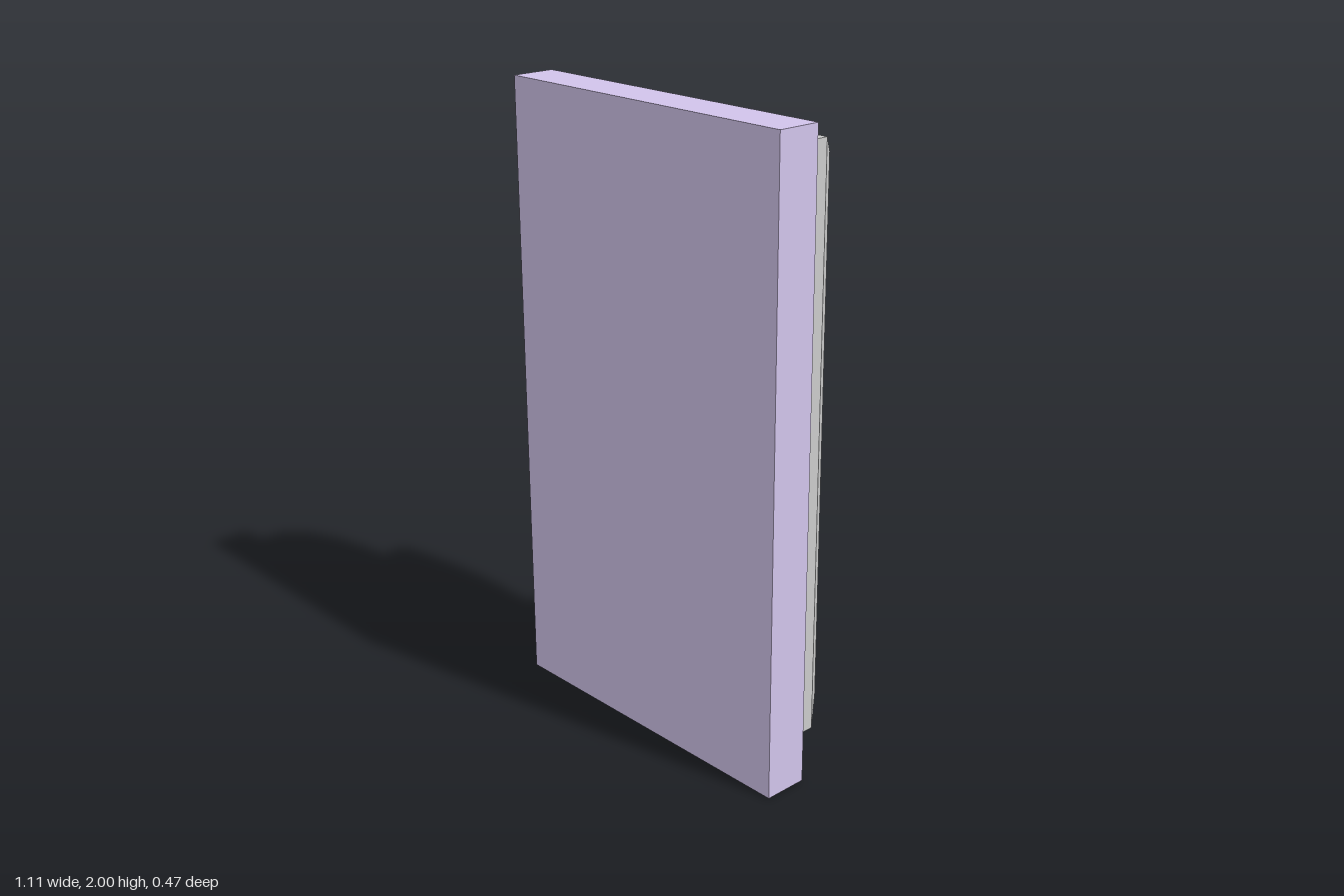
import * as THREE from 'three';

const grey = new THREE.MeshStandardMaterial({ color: 0xcccccc, flatShading: true });
const lilac = new THREE.MeshStandardMaterial({ color: 0xd2c4eb, flatShading: true });

const FACE_Z = -0.128; // flat of the cover plate
const CX = -0.017; // centre line of sockets and screw

function part(name, geometry, material) {
  const mesh = new THREE.Mesh(geometry, material);
  mesh.name = name;
  return mesh;
}

// Skin convex rings (counterclockwise seen from +z, ordered towards -z) and cap both ends
function loft(rings) {
  const n = rings[0].length, last = rings.length - 1;
  const index = [];
  for (let k = 0; k < last; k++) {
    for (let i = 0; i < n; i++) {
      const j = (i + 1) % n;
      const a = k * n + i, b = k * n + j, d = a + n, c = b + n;
      index.push(a, d, c, a, c, b);
    }
  }
  for (let i = 1; i < n - 1; i++) {
    index.push(0, i, i + 1);
    index.push(last * n, last * n + i + 1, last * n + i);
  }
  const indexed = new THREE.BufferGeometry().setFromPoints(rings.flat());
  indexed.setIndex(index);
  const geometry = indexed.toNonIndexed();
  geometry.computeVertexNormals();
  return geometry;
}

function rectRing(inset, z) {
  const x0 = -0.502 + inset, x1 = 0.49 - inset, y0 = 0.11 + inset, y1 = 1.937 - inset;
  return [[x0, y0], [x1, y0], [x1, y1], [x0, y1]].map(([x, y]) => new THREE.Vector3(x, y, z));
}

// Socket outline: flat top and bottom, bowed sides
function socketShape() {
  const R = 0.4, h = 0.262, half = 0.32, steps = 8;
  const a = Math.asin(h / R);
  const pts = [];
  for (const side of [1, -1]) {
    for (let i = 0; i <= steps; i++) {
      const t = -a + (2 * a * i) / steps;
      pts.push(new THREE.Vector2(side * (half - R + R * Math.cos(t)), side * R * Math.sin(t)));
    }
  }
  const shape = new THREE.Shape(pts);

  // Two blade slots
  for (const x of [0.141, -0.115]) {
    const w = 0.032, y0 = -0.035, y1 = 0.202;
    shape.holes.push(new THREE.Path([
      new THREE.Vector2(x - w, y0), new THREE.Vector2(x - w, y1),
      new THREE.Vector2(x + w, y1), new THREE.Vector2(x + w, y0),
    ]));
  }

  // Arched ground hole
  const gx = 0.012, r = 0.085, spring = -0.122;
  const arch = [new THREE.Vector2(gx - r, -0.207)];
  for (let i = 0; i <= 8; i++) {
    const t = Math.PI * (1 - i / 8);
    arch.push(new THREE.Vector2(gx + r * Math.cos(t), spring + r * Math.sin(t)));
  }
  arch.push(new THREE.Vector2(gx + r, -0.207));
  shape.holes.push(new THREE.Path(arch));
  return shape;
}

// Half of the domed screw head, cut flat along the slot
function screwHalf() {
  const gap = 0.01, steps = 14;
  const profile = [[0.063, FACE_Z], [0.063, -0.147], [0.055, -0.16], [0.042, -0.169], [0.022, -0.175]];
  return loft(profile.map(([r, z]) => {
    const a = Math.asin(gap / r);
    return Array.from({ length: steps + 1 }, (_, i) => {
      const t = a + ((Math.PI - 2 * a) * i) / steps;
      return new THREE.Vector3(r * Math.cos(t), r * Math.sin(t), z);
    });
  }));
}

export function createModel() {
  const model = new THREE.Group();
  model.name = 'wallOutlet';

  // Backing slab
  const slab = part('backingSlab', new THREE.BoxGeometry(1.11, 2, 0.143), lilac);
  slab.position.set(0, 1, 0.16);
  model.add(slab);

  // Cover plate with a two-step bevel
  model.add(part('coverPlate', loft([
    rectRing(0, 0.089), rectRing(0, -0.018), rectRing(0.06, -0.095), rectRing(0.121, FACE_Z),
  ]), grey));

  // Upper and lower sockets
  const socketGeometry = new THREE.ExtrudeGeometry(socketShape(), { depth: 0.106, bevelEnabled: false });
  for (const [name, y] of [['upperSocket', 1.452], ['lowerSocket', 0.602]]) {
    const socket = part(name, socketGeometry, grey);
    socket.position.set(CX, y, -0.234);
    model.add(socket);
  }

  // Slotted screw between the sockets
  const screw = new THREE.Group();
  screw.name = 'screw';
  const half = screwHalf();
  const upper = part('screwUpperHalf', half, lilac);
  const lower = part('screwLowerHalf', half, lilac);
  lower.rotation.z = Math.PI;
  screw.add(upper, lower);
  screw.position.set(CX, 1.03, 0);
  model.add(screw);

  return model;
}
